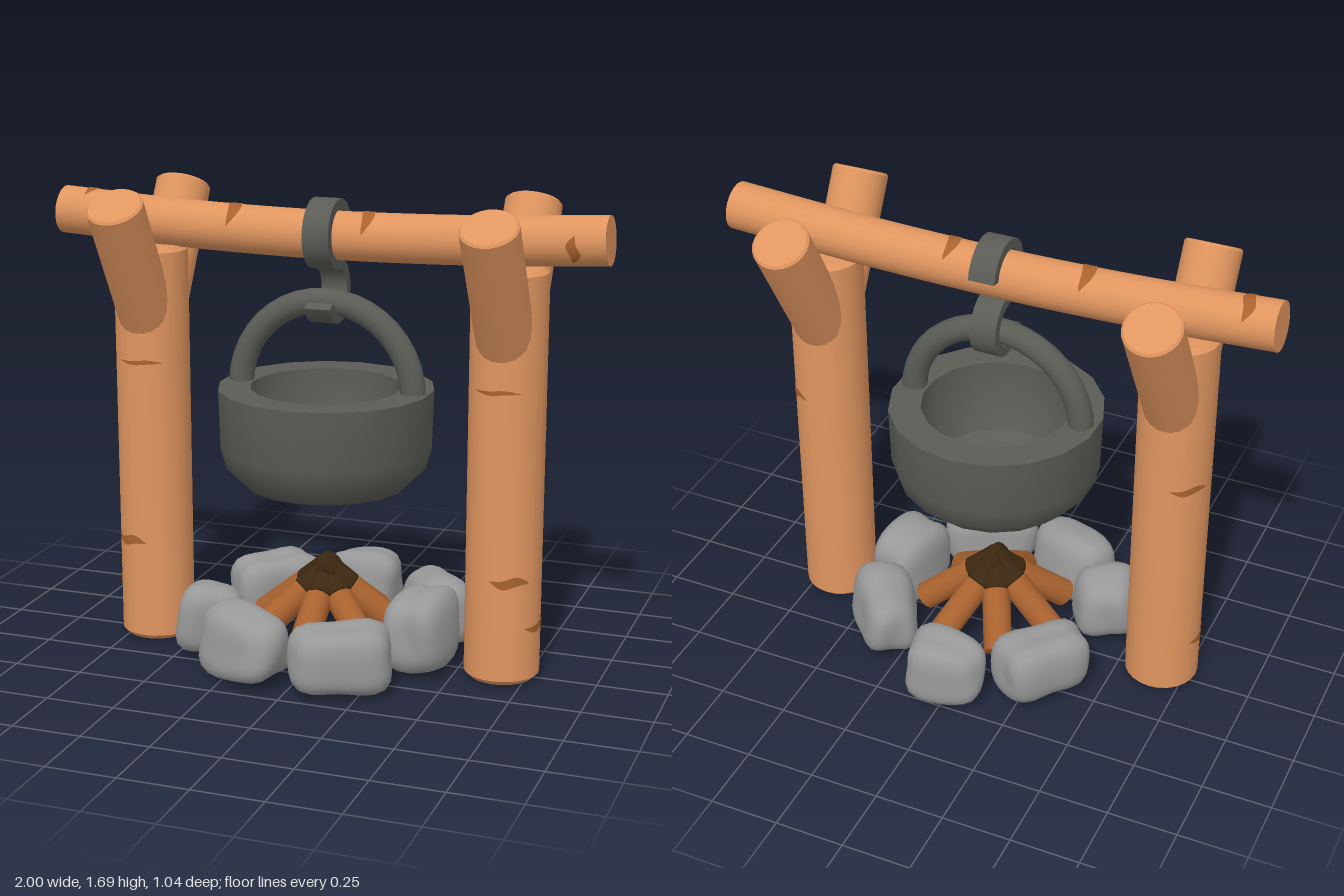
import * as THREE from 'three';
import { mergeVertices, toCreasedNormals } from 'three/addons/utils/BufferGeometryUtils.js';

const material = (name, color, side = THREE.FrontSide) => {
  const m = new THREE.MeshStandardMaterial({ color, side });
  m.name = name;
  return m;
};
const V = (x, y, z) => new THREE.Vector3(x, y, z);

function add(parent, name, geometry, mat) {
  const mesh = new THREE.Mesh(geometry, mat);
  mesh.name = name;
  parent.add(mesh);
  return mesh;
}

function lathe(points, sides) {
  const g = new THREE.LatheGeometry(points.map(p => new THREE.Vector2(...p)), sides);
  return toCreasedNormals(g, 0.6);
}

// Bevelled round log running from a to b
function addLog(parent, name, a, b, r, mat, bevel = 0.012, sides = 24) {
  const dir = b.clone().sub(a), h = dir.length();
  const g = lathe([[0, 0], [r - bevel, 0], [r, bevel], [r, h - bevel], [r - bevel, h], [0, h]], sides);
  const mesh = add(parent, name, g, mat);
  mesh.position.copy(a);
  mesh.quaternion.setFromUnitVectors(V(0, 1, 0), dir.normalize());
  return mesh;
}

// Lens-shaped bark mark wrapped round a y-axis cylinder; angle 0 faces +z
function barkMark(r, angle, halfAngle, halfHeight) {
  const n = 12, pos = [], index = [];
  for (let i = 0; i <= n; i++) {
    const t = (i / n) * 2 - 1, a = angle + t * halfAngle;
    const w = halfHeight * (1 - t * t), mid = 0.35 * halfHeight * Math.sin(t * 4);
    pos.push(r * Math.sin(a), mid - w, r * Math.cos(a), r * Math.sin(a), mid + w, r * Math.cos(a));
    if (i < n) {
      const k = i * 2;
      index.push(k, k + 2, k + 1, k + 2, k + 3, k + 1);
    }
  }
  const g = new THREE.BufferGeometry();
  g.setAttribute('position', new THREE.Float32BufferAttribute(pos, 3));
  g.setIndex(index);
  g.computeVertexNormals();
  return g;
}

// Blocky, lumpy boulder
function stoneGeometry(seed, sx, sy, sz) {
  let g = new THREE.IcosahedronGeometry(1, 5);
  g.deleteAttribute('uv');
  g.deleteAttribute('normal');
  g = mergeVertices(g, 1e-4);
  const p = g.attributes.position;
  for (let i = 0; i < p.count; i++) {
    const v = V(0, 0, 0).fromBufferAttribute(p, i);
    const block = Math.pow(v.x ** 4 + v.y ** 4 + v.z ** 4, -0.25);
    const lump = 0.95 + 0.07 * Math.sin(3.1 * v.x + seed * 2.3) + 0.05 * Math.sin(4 * v.z + 2 * v.y + seed * 1.7);
    v.multiplyScalar(block * lump);
    const taper = 1 - 0.1 * v.y + 0.12 * Math.sin(seed * 5) * v.x;
    p.setXYZ(i, v.x * sx, v.y * sy, v.z * sz * taper);
  }
  g.computeVertexNormals();
  return g;
}

export function createModel() {
  const model = new THREE.Group();
  model.name = 'campfireWithCookingPot';
  const wood = material('wood', 0xe0955f);
  const bark = material('bark', 0xa9622f, THREE.DoubleSide);
  const iron = material('iron', 0x5b5c56);
  const stone = material('stone', 0x999999);
  const char = material('char', 0x3c2811);

  // Forked posts, marks mirrored left to right
  for (const s of [-1, 1]) {
    const post = new THREE.Group();
    post.name = s > 0 ? 'leftPost' : 'rightPost';
    post.position.set(s * 0.66, 0, 0.015);
    model.add(post);
    addLog(post, 'trunk', V(0, 0.012, 0), V(0, 1.47, 0), 0.133, wood, 0.018);
    for (const d of [-1, 1])
      addLog(post, 'forkBranch', V(0, 1.125, -0.005), V(0, 1.645, d * 0.295 - 0.005), 0.1, wood, 0.008);
    for (const [y, a, ha, hh] of [
      [0.39, 0.42, 0.55, 0.018], [1.06, -0.05, 0.65, 0.008],
      [0.215, 1.45, 0.6, 0.015], [0.905, 2.35, 0.55, 0.014]]) {
      add(post, 'barkMark', barkMark(0.1355, s * a, ha, hh), bark).position.y = y;
    }
  }

  // Sagging cross beam with flat ends
  const beam = new THREE.Group();
  beam.name = 'crossBeam';
  beam.position.z = 0.007;
  model.add(beam);
  const path = new THREE.CatmullRomCurve3(
    [[-0.995, 1.572], [-0.5, 1.545], [0, 1.535], [0.5, 1.545], [0.995, 1.572]].map(([x, y]) => V(x, y, 0)));
  add(beam, 'beamBody', new THREE.TubeGeometry(path, 24, 0.085, 24), wood);
  for (const t of [0, 1]) {
    const cap = add(beam, 'beamEnd', new THREE.CircleGeometry(0.085, 24), wood);
    cap.position.copy(path.getPoint(t));
    cap.quaternion.setFromUnitVectors(V(0, 0, 1), path.getTangent(t).multiplyScalar(t ? 1 : -1));
  }
  for (const [x, a, ha, hw] of [
    [-0.33, -1.45, 1.25, 0.025], [0.16, -1.4, 1.2, 0.023],
    [-0.89, -1.8, 0.9, 0.022], [0.885, 0.25, 0.6, 0.02]]) {
    const mark = add(beam, 'barkMark', barkMark(0.0875, a, ha, hw), bark);
    mark.position.copy(path.getPoint((x + 0.995) / 1.99));
    mark.rotation.z = -Math.PI / 2 + x * 0.05;
  }

  // S-shaped strap hook over the beam, holding the pot handle
  const half = 0.018, sideA = [], sideB = [];
  const arc = (cy, r, from, to, flip) => {
    for (let i = 0; i <= 18; i++) {
      const a = THREE.MathUtils.degToRad(from + (to - from) * i / 18);
      const at = k => new THREE.Vector2((r + k) * Math.cos(a), cy + (r + k) * Math.sin(a));
      sideA.push(at(half * flip));
      sideB.push(at(-half * flip));
    }
  };
  arc(1.54, 0.105, 172, -88, 1);
  arc(1.34, 0.095, 92, 335, -1);
  const hookShape = new THREE.Shape([...sideA, ...sideB.reverse()]);
  const hookGeo = new THREE.ExtrudeGeometry(hookShape, { depth: 0.095, bevelEnabled: false });
  const hook = add(model, 'hook', toCreasedNormals(hookGeo, 0.6), iron);
  hook.rotation.y = -Math.PI / 2;
  hook.position.set(0.0505, 0, 0.007);

  // Thick-walled pot and its arched handle
  const pot = new THREE.Group();
  pot.name = 'pot';
  pot.position.set(0.003, 0, 0.014);
  model.add(pot);
  add(pot, 'potBody', lathe([[0, 0.62], [0.18, 0.622], [0.29, 0.65], [0.355, 0.715], [0.376, 0.79],
    [0.382, 1], [0.268, 1], [0.265, 0.85], [0.22, 0.74], [0.12, 0.7], [0, 0.69]], 18), iron);
  const handle = add(pot, 'potHandle', new THREE.TorusGeometry(0.32, 0.045, 14, 20, Math.PI), iron);
  handle.position.y = 0.985;

  // Ring of stones: angle, distance, half width, half height, half depth
  const stones = [
    [-90, 0.425, 0.15, 0.122, 0.105], [-139, 0.4, 0.165, 0.125, 0.115], [160, 0.415, 0.12, 0.125, 0.115],
    [116, 0.39, 0.175, 0.125, 0.115], [64, 0.41, 0.17, 0.122, 0.115], [10, 0.39, 0.165, 0.145, 0.105],
    [-35, 0.41, 0.165, 0.128, 0.11]];
  const ring = new THREE.Group();
  ring.name = 'stoneRing';
  model.add(ring);
  stones.forEach(([deg, d, w, h, depth], i) => {
    const a = THREE.MathUtils.degToRad(deg);
    const rock = add(ring, 'stone', stoneGeometry(i + 1, w, h, depth), stone);
    rock.position.set(d * Math.cos(a), h + 0.015, d * Math.sin(a));
    rock.rotation.y = Math.PI / 2 - a;
  });

  // Stacked firewood with charred inner ends
  const fire = new THREE.Group();
  fire.name = 'firewood';
  model.add(fire);
  for (let i = 0; i < 7; i++) {
    const a = Math.PI / 2 + i * Math.PI * 2 / 7, c = Math.cos(a), s = Math.sin(a);
    const outer = V(0.27 * c, 0.1, 0.27 * s);
    const inner = V(-0.03 * c, 0.32 + (i % 3) * 0.012, -0.03 * s);
    const split = outer.clone().lerp(inner, 0.62);
    addLog(fire, 'firewoodLog', outer, split, 0.052, bark, 0.004, 12);
    addLog(fire, 'charredEnd', split, inner, 0.053, char, 0.004, 12);
  }
  return model;
}
